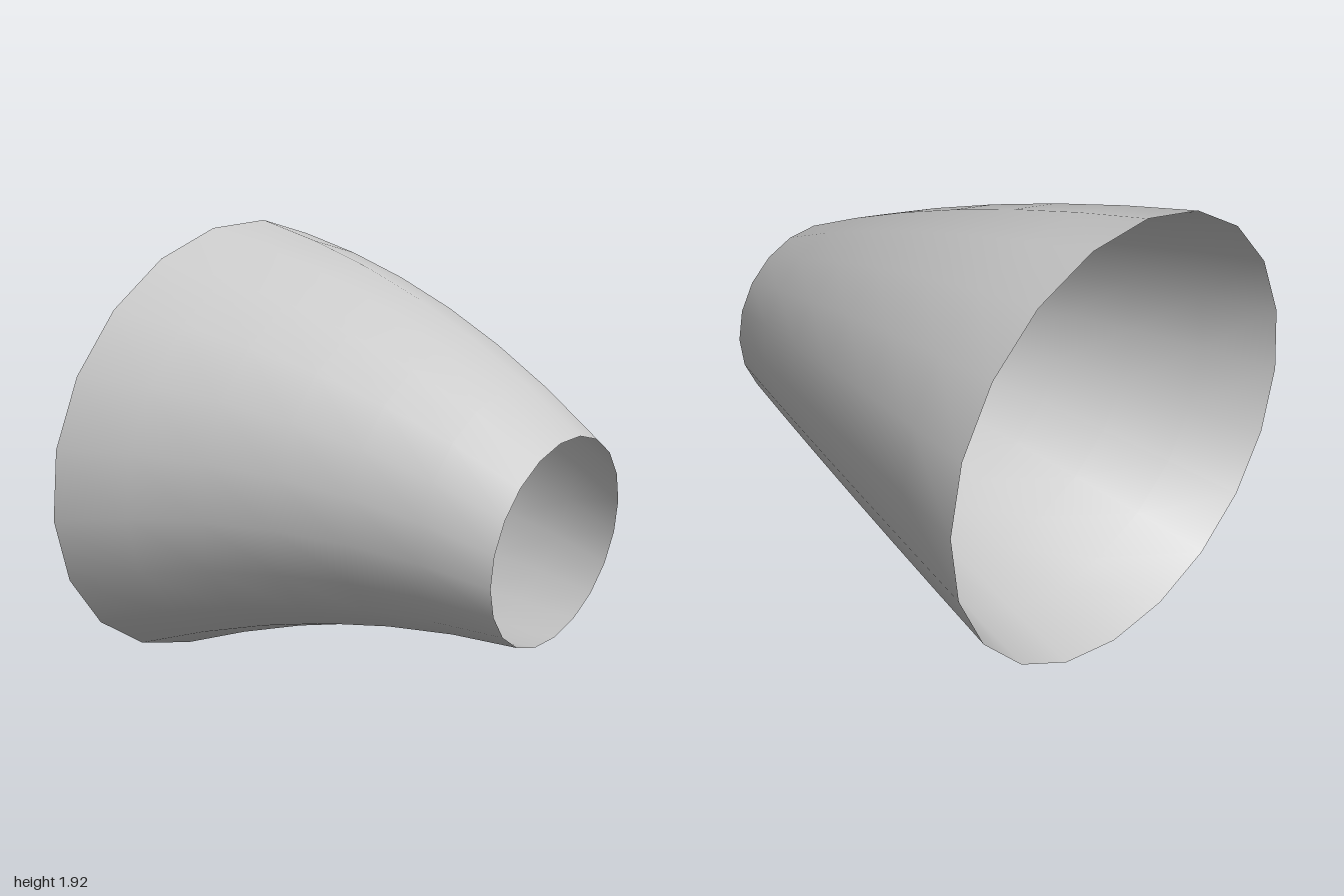
import * as THREE from 'three';

const SIDES = 20, STEPS = 6;

// Centre line: bows gently upwards and to the back
const start = new THREE.Vector3(-0.8675, 0.966, 0);
const end = new THREE.Vector3(0.8825, 0.875, -0.06);
const bow = new THREE.Vector3(0, 0.08, -0.055);

// Half axes of the slightly tilted rim ellipse, shared by every ring
const up = new THREE.Vector3(0.0325, 0.962, 0.065);
const back = new THREE.Vector3(0.0175, 0.115, -0.998);

function taperedSleeve() {
  const positions = [], index = [];
  for (let s = 0; s <= STEPS; s++) {
    const t = s / STEPS;
    const centre = start.clone().lerp(end, t).addScaledVector(bow, 4 * t * (1 - t));
    const scale = THREE.MathUtils.lerp(1, 0.441, t);
    for (let i = 0; i < SIDES; i++) {
      const angle = (i / SIDES) * Math.PI * 2;
      const p = centre.clone()
        .addScaledVector(up, scale * Math.cos(angle))
        .addScaledVector(back, scale * Math.sin(angle));
      positions.push(p.x, p.y, p.z);
      if (s < STEPS) {
        const a = s * SIDES + i, b = s * SIDES + (i + 1) % SIDES;
        index.push(a, a + SIDES, b, b, a + SIDES, b + SIDES);
      }
    }
  }
  const geometry = new THREE.BufferGeometry();
  geometry.setAttribute('position', new THREE.Float32BufferAttribute(positions, 3));
  geometry.setIndex(index);
  geometry.computeVertexNormals();
  return geometry;
}

export function createModel() {
  const group = new THREE.Group();
  group.name = 'openSleeve';
  // Thin shell, open at both ends
  const material = new THREE.MeshStandardMaterial({ color: 0xcccccc, side: THREE.DoubleSide });
  const sleeve = new THREE.Mesh(taperedSleeve(), material);
  sleeve.name = 'taperedSleeve';
  group.add(sleeve);
  return group;
}
